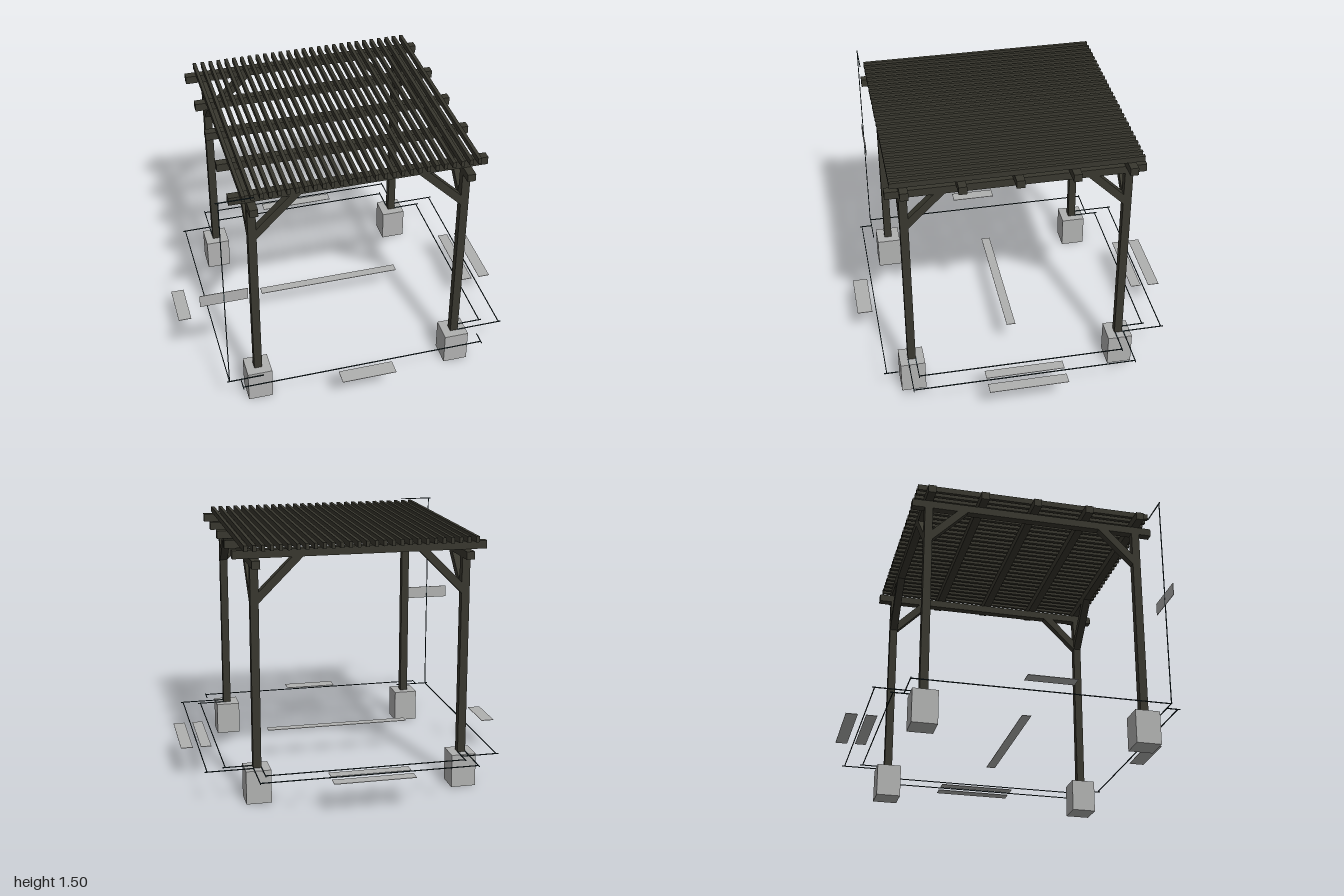
import * as THREE from 'three';

const wood = new THREE.MeshStandardMaterial({ name: 'dark wood', color: 0x38372e });
const concrete = new THREE.MeshStandardMaterial({ name: 'concrete grey', color: 0xb0b1b0 });
const ink = new THREE.MeshStandardMaterial({ name: 'line ink', color: 0x1c2b30 });

// Box given by its minimum and maximum on each axis
function span(name, material, [x0, x1], [y0, y1], [z0, z1]) {
  const mesh = new THREE.Mesh(new THREE.BoxGeometry(x1 - x0, y1 - y0, z1 - z0), material);
  mesh.position.set((x0 + x1) / 2, (y0 + y1) / 2, (z0 + z1) / 2);
  mesh.name = name;
  return mesh;
}
const around = (c, w) => [c - w / 2, c + w / 2];

const POST = 0.047, GROUND = 0.198, BEAM_Y = 1.37, RAFTER_Y = 1.416, SLAT_Y = 1.463, TOP = 1.497;
const postX = [-0.617, 0.604], postZ = [-0.588, 0.677];

// 45 degree brace with mitred ends, running toward +x from the post face
function brace(top, bottom) {
  const run = top - bottom, w = 0.063;
  const shape = new THREE.Shape([
    new THREE.Vector2(0, bottom), new THREE.Vector2(run, top),
    new THREE.Vector2(run - w, top), new THREE.Vector2(0, bottom + w),
  ]);
  const geo = new THREE.ExtrudeGeometry(shape, { depth: POST, bevelEnabled: false });
  geo.translate(POST / 2, 0, -POST / 2);
  const mesh = new THREE.Mesh(geo, wood);
  mesh.name = 'brace';
  return mesh;
}

function buildFrame() {
  const frame = new THREE.Group();
  frame.name = 'timberFrame';
  postX.forEach((x, i) => {
    // Beam along the depth, carried by two posts
    frame.add(span('beam', wood, around(x, POST), [BEAM_Y, RAFTER_Y], [-0.687, 0.775]));
    postZ.forEach((z, j) => {
      frame.add(span('footing', concrete, around(x, 0.146), [0, GROUND], around(z, 0.146)));
      frame.add(span('post', wood, around(x, POST), [GROUND, BEAM_Y], around(z, POST)));
      const across = brace(RAFTER_Y, 1.162);
      across.position.set(x, 0, z);
      across.rotation.y = i ? Math.PI : 0;
      const along = brace(BEAM_Y, 1.162);
      along.position.set(x, 0, z);
      along.rotation.y = j ? Math.PI / 2 : -Math.PI / 2;
      frame.add(across, along);
    });
  });
  return frame;
}

function buildRoof() {
  const roof = new THREE.Group();
  roof.name = 'roof';
  for (let i = 0; i < 5; i++) {
    const z = THREE.MathUtils.lerp(postZ[0], postZ[1], i / 4);
    roof.add(span('rafter', wood, [-0.737, 0.723], [RAFTER_Y, SLAT_Y], around(z, POST)));
  }
  for (let i = 0; i < 28; i++) {
    const x = -0.665 + i * 0.0489;
    roof.add(span('slat', wood, around(x, 0.02), [SLAT_Y, TOP], [-0.662, 0.75]));
  }
  return roof;
}

function buildDimensions() {
  const dims = new THREE.Group();
  dims.name = 'dimensionMarks';
  const T = 0.005, Y = around(0.2, T);
  const lineX = (z, x0, x1) => dims.add(span('dimensionLine', ink, [x0, x1], Y, around(z, T)));
  const lineZ = (x, z0, z1) => dims.add(span('dimensionLine', ink, around(x, T), Y, [z0, z1]));
  const plate = (x, z) => dims.add(span('labelPlate', concrete, x, around(0.2, 0.003), z));

  // Widths: each row is line z, start x, end x, then the range of the end ticks
  for (const [z, x0, x1, t0, t1] of [
    [-0.857, -0.64, 0.627, -0.872, -0.61],
    [-0.75, -0.595, 0.58, -0.765, -0.61],
    [0.838, -0.737, 0.725, 0.77, 0.853],
  ]) {
    lineX(z, x0, x1);
    for (const x of [x0, x1]) lineZ(x, t0, t1);
  }
  // Depths: line x, start z, end z, then the range of the end ticks
  for (const [x, z0, z1, t0, t1] of [
    [-0.805, -0.69, 0.773, -0.82, -0.6],
    [0.783, -0.57, 0.654, 0.627, 0.798],
    [0.893, -0.62, 0.7, 0.627, 0.908],
  ]) {
    lineZ(x, z0, z1);
    for (const z of [z0, z1]) lineX(z, t0, t1);
  }
  // Height line at the front corner, with its top tick and label
  dims.add(span('heightLine', ink, around(-0.805, T), [0.2, 1.5], around(0.775, T)));
  dims.add(span('heightTick', ink, [-0.82, -0.615], around(1.5, T), around(0.775, T)));
  dims.add(span('heightLabel', concrete, [-0.94, -0.67], [0.815, 0.89], around(0.775, 0.003)));

  // Blank label plates lying level with the footing tops
  plate([-0.243, 0.23], [-0.962, -0.893]);
  plate([-0.243, 0.225], [-0.846, -0.782]);
  plate([-0.17, 0.156], [0.862, 0.953]);
  plate([-0.45, 0.435], [0.012, 0.066]);
  plate([-1, -0.922], [-0.1, 0.178]);
  plate([0.815, 0.878], [-0.195, 0.272]);
  plate([0.927, 0.997], [-0.195, 0.272]);
  return dims;
}

export function createModel() {
  const model = new THREE.Group();
  model.name = 'pergola';
  model.add(buildFrame(), buildRoof(), buildDimensions());
  return model;
}
